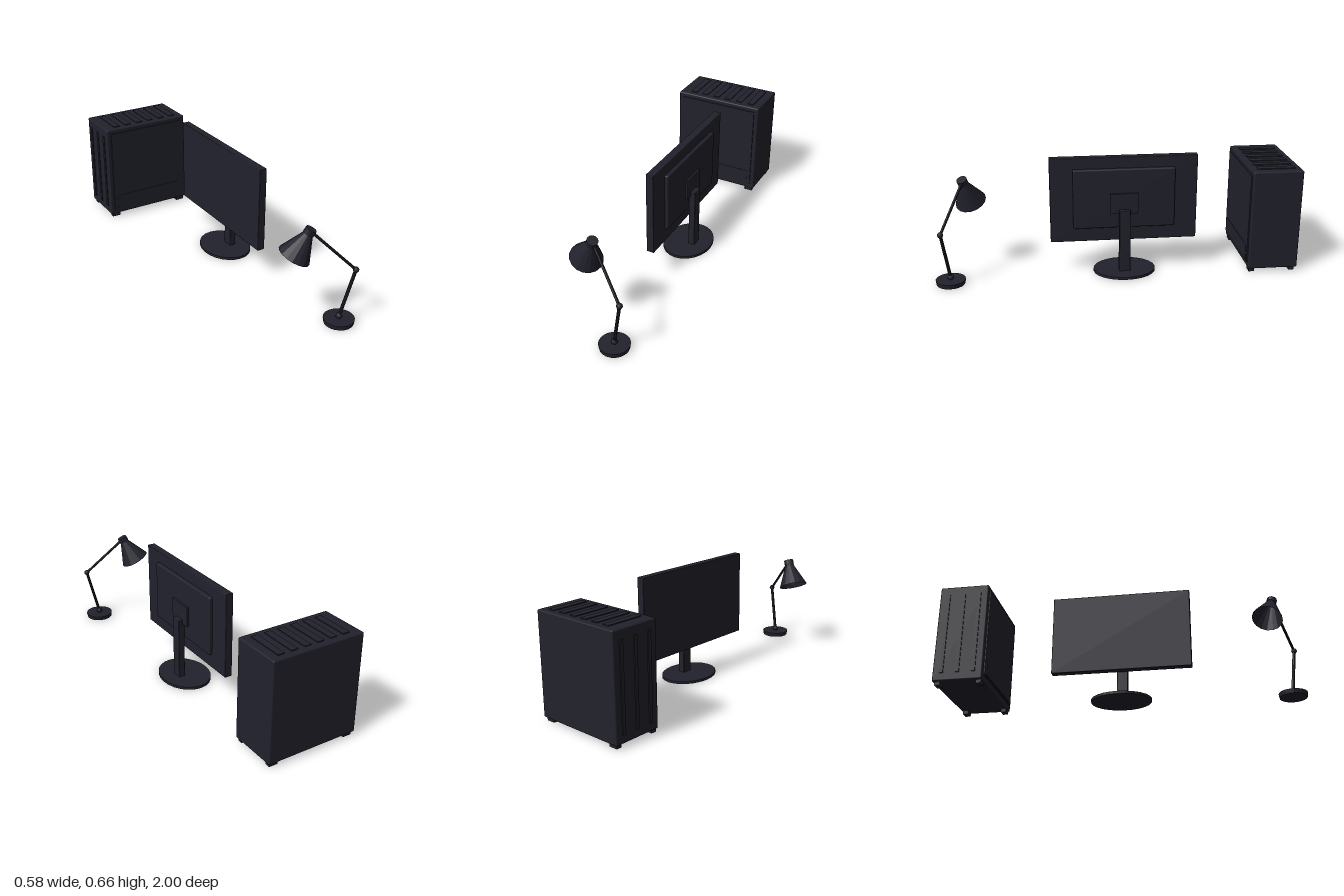
import * as THREE from 'three';
import { RoundedBoxGeometry } from 'three/addons/geometries/RoundedBoxGeometry.js';

const V = (x, y, z) => new THREE.Vector3(x, y, z);

export function createModel() {
  const model = new THREE.Group();
  const dark = new THREE.MeshStandardMaterial({ color: 0x22222d, side: THREE.DoubleSide });
  dark.name = 'darkPlastic';
  const faceted = dark.clone();
  faceted.name = 'darkPlasticFaceted';
  faceted.flatShading = true;

  const group = (name) => {
    const g = new THREE.Group();
    g.name = name;
    model.add(g);
    return g;
  };
  const add = (parent, name, geometry, material = dark) => {
    const m = new THREE.Mesh(geometry, material);
    m.name = name;
    parent.add(m);
    return m;
  };
  // Box given by its extents on each axis, optionally rounded
  const box = (parent, name, [x0, x1], [y0, y1], [z0, z1], r = 0) => {
    const s = [x1 - x0, y1 - y0, z1 - z0];
    const g = r ? new RoundedBoxGeometry(...s, 3, r) : new THREE.BoxGeometry(...s);
    add(parent, name, g).position.set((x0 + x1) / 2, (y0 + y1) / 2, (z0 + z1) / 2);
  };
  // Cylinder or cone running from point a to point b
  const rod = (parent, name, a, b, ra, rb, sides, open = false) => {
    const d = b.clone().sub(a);
    const m = add(parent, name, new THREE.CylinderGeometry(rb, ra, d.length(), sides, 1, open), faceted);
    m.position.copy(a).add(b).multiplyScalar(0.5);
    m.quaternion.setFromUnitVectors(V(0, 1, 0), d.normalize());
  };
  const ball = (parent, name, p, r) =>
    add(parent, name, new THREE.SphereGeometry(r, 12, 8)).position.copy(p);

  // Computer tower
  const tower = group('computerTower');
  box(tower, 'case', [-0.287, 0.247], [0.02, 0.585], [-1, -0.722], 0.008);
  box(tower, 'sidePanel', [-0.262, 0.222], [0.052, 0.56], [-0.725, -0.715]);
  box(tower, 'panelShroud', [-0.24, 0.2], [0.06, 0.145], [-0.716, -0.713]);
  for (let i = 0; i < 6; i++) {
    const x = -0.223 + i * 0.0765;
    box(tower, 'topVent', [x, x + 0.038], [0.58, 0.59], [-0.965, -0.757]);
  }
  for (const z of [-0.95, -0.861, -0.772])
    box(tower, 'intakeStrip', [-0.292, -0.28], [0.065, 0.535], [z - 0.01, z + 0.01]);
  for (const x of [-0.25, 0.21])
    for (const z of [-0.972, -0.743])
      box(tower, 'foot', [x - 0.025, x + 0.025], [0, 0.025], [z - 0.015, z + 0.015]);

  // Monitor, its screen turned to the right
  const monitor = group('monitor');
  box(monitor, 'screenHousing', [0.082, 0.125], [0.18, 0.66], [-0.44, 0.37], 0.004);
  box(monitor, 'rearHousing', [0.105, 0.145], [0.26, 0.597], [-0.315, 0.245], 0.009);
  box(monitor, 'mountPlate', [0.14, 0.157], [0.345, 0.46], [-0.11, 0.042]);
  box(monitor, 'standNeck', [0.145, 0.183], [0.01, 0.37], [-0.066, -0.004], 0.004);
  const foot = add(monitor, 'standBase', new THREE.CylinderGeometry(1, 1, 0.015, 24), faceted);
  foot.scale.set(0.139, 1, 0.173);
  foot.position.set(0.131, 0.0075, -0.037);

  // Desk lamp
  const lamp = group('deskLamp');
  const pivot = V(0.208, 0.037, 0.919);
  const elbow = V(0.265, 0.306, 0.95);
  const neck = V(0.07, 0.513, 0.843);
  rod(lamp, 'lampBase', V(0.208, 0, 0.919), V(0.208, 0.025, 0.919), 0.077, 0.081, 20);
  ball(lamp, 'baseJoint', pivot, 0.017);
  rod(lamp, 'lowerArm', pivot, elbow, 0.009, 0.009, 8);
  ball(lamp, 'elbowJoint', elbow, 0.016);
  rod(lamp, 'upperArm', elbow, neck, 0.0075, 0.0075, 8);
  ball(lamp, 'neckJoint', neck, 0.012);
  const mouth = V(-0.008, 0.393, 0.802);
  const collar = V(0.047, 0.513, 0.832);
  rod(lamp, 'shade', mouth, collar, 0.086, 0.025, 16, true);
  rod(lamp, 'shadeCap', collar, V(0.059, 0.54, 0.839), 0.029, 0.029, 12);

  return model;
}
